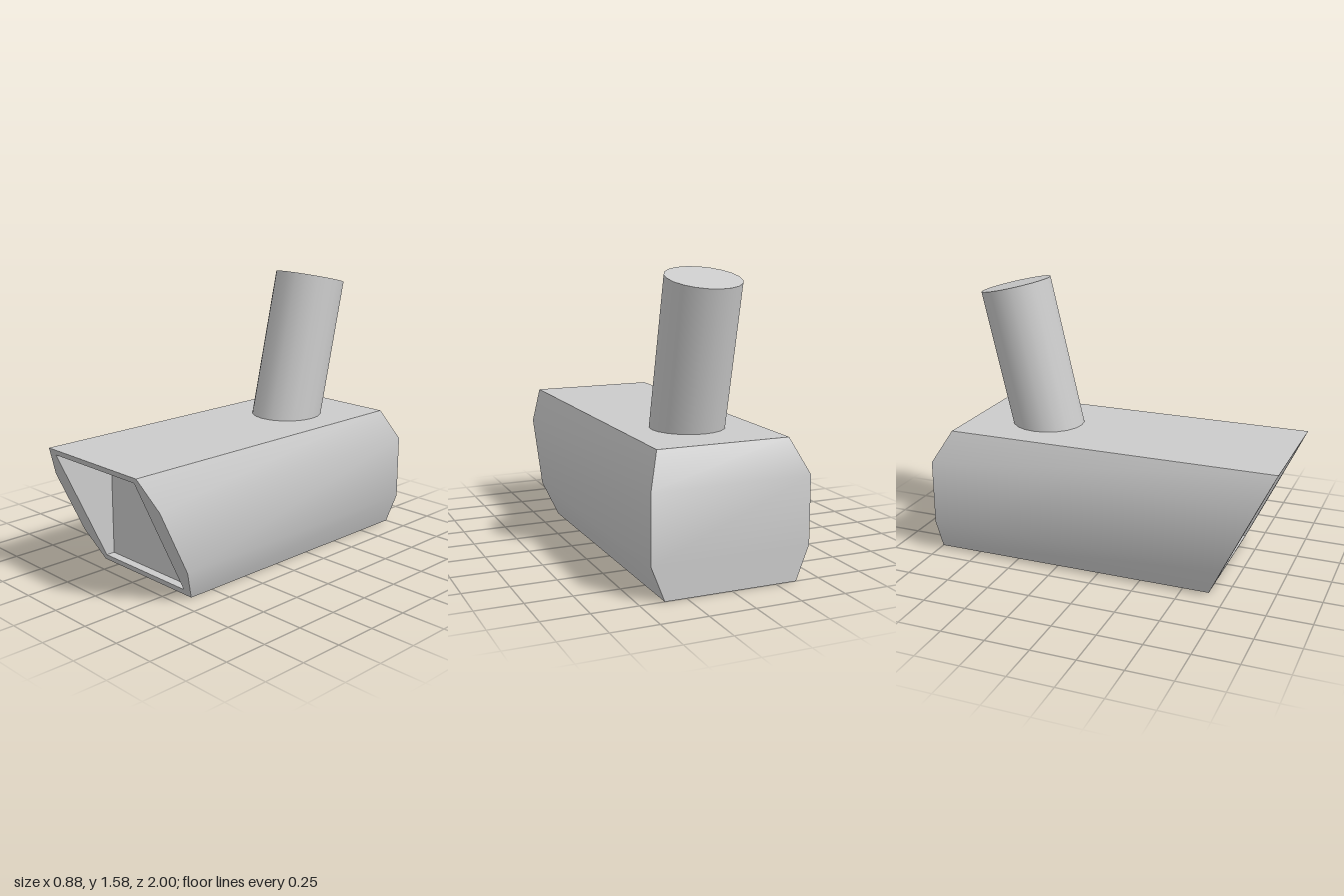
import * as THREE from 'three';
import { mergeGeometries, toCreasedNormals } from 'three/addons/utils/BufferGeometryUtils.js';

const material = new THREE.MeshStandardMaterial({ color: 0xcccccc });

// Half-width, height and rear z of each level of the housing
const levels = [
  [0.367, 0, -1],
  [0.44, 0.185, -1],
  [0.44, 0.555, -1],
  [0.367, 0.735, -0.9],
];
const frontZ = (y) => 0.65 + (0.35 * y) / 0.735; // the front face leans forward
const recess = { half: 0.33, low: 0.04, high: 0.7, z: 0.617 };

// Collects four-cornered faces, corners anticlockwise as seen from outside
function faceBuilder() {
  const positions = [];
  const quad = (a, b, c, d) => positions.push(...a, ...b, ...c, ...a, ...c, ...d);
  const mirrored = (...corners) => {
    quad(...corners);
    quad(...corners.map(([x, y, z]) => [-x, y, z]).reverse());
  };
  const build = () => new THREE.BufferGeometry()
    .setAttribute('position', new THREE.Float32BufferAttribute(positions, 3));
  return { quad, mirrored, build };
}

function housingGeometry() {
  const { quad, mirrored, build } = faceBuilder();

  // Faceted sides and back, level by level
  for (let i = 0; i < levels.length - 1; i++) {
    const [w0, y0, b0] = levels[i];
    const [w1, y1, b1] = levels[i + 1];
    mirrored([w0, y0, frontZ(y0)], [w0, y0, b0], [w1, y1, b1], [w1, y1, frontZ(y1)]);
    quad([w0, y0, b0], [-w0, y0, b0], [-w1, y1, b1], [w1, y1, b1]);
  }

  // Top and bottom
  const [bw, by, bb] = levels[0];
  const [tw, ty, tb] = levels[3];
  quad([-tw, ty, frontZ(ty)], [tw, ty, frontZ(ty)], [tw, ty, tb], [-tw, ty, tb]);
  quad([-bw, by, bb], [bw, by, bb], [bw, by, frontZ(by)], [-bw, by, frontZ(by)]);

  // Front rim: octagon with a square opening, leaned to the front plane
  const outline = [
    ...levels.map(([w, y]) => new THREE.Vector2(w, y)),
    ...levels.map(([w, y]) => new THREE.Vector2(-w, y)).reverse(),
  ];
  const shape = new THREE.Shape(outline);
  const { half: h, low, high } = recess;
  shape.holes.push(new THREE.Path([[-h, low], [-h, high], [h, high], [h, low]]
    .map(([x, y]) => new THREE.Vector2(x, y))));
  const rim = new THREE.ShapeGeometry(shape).toNonIndexed();
  rim.deleteAttribute('normal');
  rim.deleteAttribute('uv');
  const p = rim.attributes.position;
  for (let i = 0; i < p.count; i++) p.setZ(i, frontZ(p.getY(i)));

  return toCreasedNormals(mergeGeometries([build(), rim]), THREE.MathUtils.degToRad(35));
}

function recessGeometry() {
  const { quad, mirrored, build } = faceBuilder();
  const { half: h, low, high, z } = recess;
  const zl = frontZ(low);
  const zh = frontZ(high);
  quad([-h, low, z], [h, low, z], [h, high, z], [-h, high, z]); // inner wall
  quad([-h, low, zl], [h, low, zl], [h, low, z], [-h, low, z]); // floor
  quad([-h, high, z], [h, high, z], [h, high, zh], [-h, high, zh]); // ceiling
  mirrored([-h, low, zl], [-h, low, z], [-h, high, z], [-h, high, zh]); // cheeks
  const geometry = build();
  geometry.computeVertexNormals();
  return geometry;
}

export function createModel() {
  const group = new THREE.Group();
  const add = (name, geometry) => {
    const mesh = new THREE.Mesh(geometry, material);
    mesh.name = name;
    group.add(mesh);
    return mesh;
  };

  add('housing', housingGeometry());
  add('frontRecess', recessGeometry());

  // Post leaning backwards, its foot sunk into the housing
  const length = 0.92;
  const postGeometry = new THREE.CylinderGeometry(0.203, 0.203, length, 20);
  postGeometry.translate(0, -length / 2, 0);
  const post = add('post', postGeometry);
  post.position.set(0, 1.537, -0.646);
  post.rotation.x = -THREE.MathUtils.degToRad(13.2);

  return group;
}
